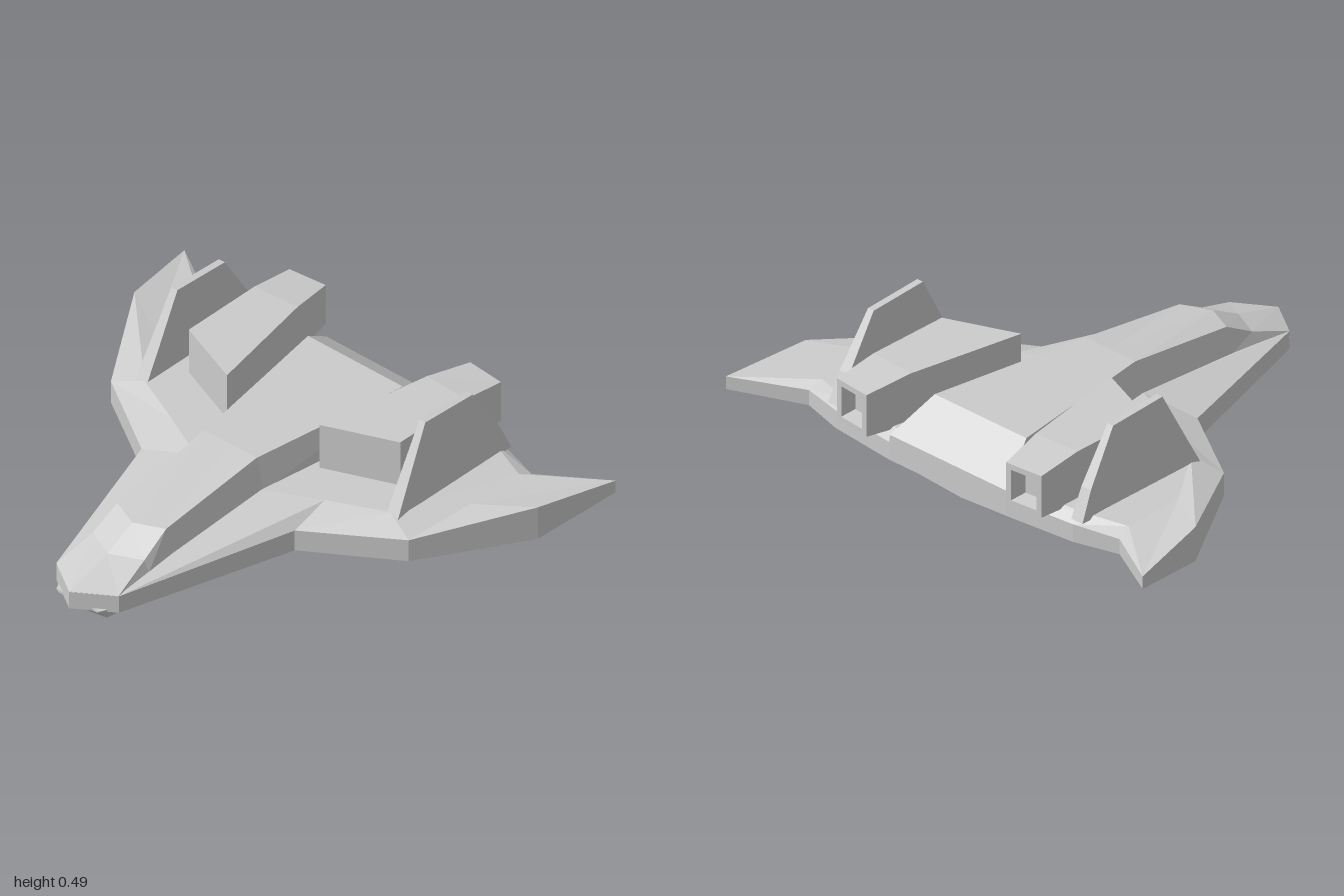
import * as THREE from 'three';

const material = new THREE.MeshStandardMaterial({ color: 0xcccccc, flatShading: true });

// Skin a row of closed rings of [x, y, z] points, cap both ends, face outward
function loft(name, rings) {
  const tris = [];
  const n = rings[0].length;
  for (let i = 0; i < rings.length - 1; i++) {
    for (let j = 0; j < n; j++) {
      const k = (j + 1) % n;
      const a = rings[i][j], b = rings[i][k], c = rings[i + 1][k], d = rings[i + 1][j];
      tris.push([a, b, c], [a, c, d]);
    }
  }
  const first = rings[0], last = rings[rings.length - 1];
  for (let j = 1; j < n - 1; j++) {
    tris.push([first[0], first[j + 1], first[j]], [last[0], last[j], last[j + 1]]);
  }
  let volume = 0;
  const solid = [];
  for (const tri of tris) {
    const [a, b, c] = tri.map((p) => new THREE.Vector3(...p));
    volume += a.dot(b.clone().cross(c));
    if (b.clone().sub(a).cross(c.clone().sub(a)).length() > 1e-7) solid.push(tri);
  }
  if (volume < 0) solid.forEach((t) => t.reverse());
  const geometry = new THREE.BufferGeometry();
  geometry.setAttribute('position', new THREE.Float32BufferAttribute(solid.flat(2), 3));
  geometry.computeVertexNormals();
  const mesh = new THREE.Mesh(geometry, material);
  mesh.name = name;
  return mesh;
}

const flip = (ring) => ring.map(([x, y, z]) => [-x, y, z]);

// Half profile from right edge to centre line, completed by mirroring
const symmetric = (half) => [...half, ...flip(half.slice(0, -1)).reverse()];

// Wing hull: lead, ridge, rear ridge and trailing points at each span station
function wing() {
  const stations = [
    [[0, 0.13, 0.855], [0, 0.19, 0.03], [0, 0.185, -0.735], [0, 0.155, -0.785]],
    [[0.145, 0.13, 0.76], [0.15, 0.19, 0.03], [0.15, 0.185, -0.735], [0.15, 0.155, -0.785]],
    [[0.355, 0.145, 0.085], [0.355, 0.19, -0.07], [0.28, 0.185, -0.735], [0.28, 0.155, -0.785]],
    [[0.69, 0.15, -0.13], [0.57, 0.19, -0.17], [0.57, 0.185, -0.71], [0.57, 0.155, -0.755]],
    [[0.935, 0.195, -0.525], [0.735, 0.18, -0.4], [0.735, 0.17, -0.65], [0.745, 0.145, -0.705]],
  ].map(([lead, ridge, rear, trail]) => [
    lead, ridge, rear, trail,
    [trail[0], 0.085, trail[2]],
    [rear[0], 0.06, rear[2] + 0.1],
    [lead[0], 0.06, lead[2]],
  ]);
  const tip = [0.16, 0.16, 0.16, 0.16, 0.11, 0.11, 0.11].map((y) => [1, y, -0.855]);
  const half = [...stations, tip];
  return loft('wing', [...half.slice(1).reverse().map(flip), ...half]);
}

// Fuselage: [base x, base y, top x, top y, side z, centre z]
function fuselage() {
  return loft('fuselage', [
    [0.145, 0.12, 0.144, 0.131, 0.76, 0.853],
    [0.14, 0.14, 0.12, 0.185, 0.6, 0.655],
    [0.138, 0.15, 0.113, 0.25, 0.48, 0.53],
    [0.155, 0.18, 0.12, 0.305, 0.02, 0.02],
    [0.25, 0.175, 0.22, 0.305, -0.625, -0.625],
    [0.285, 0.15, 0.28, 0.185, -0.785, -0.785],
  ].map(([bx, by, tx, ty, z, cz]) => symmetric([[bx, by, z], [tx, ty, z], [0, ty, cz]])));
}

// Belly keel: [edge x, edge y, chine x, chine y, keel y, z]
function belly() {
  return loft('belly', [
    [0.1, 0.07, 0.09, 0.06, 0.058, 0.81],
    [0.12, 0.07, 0.1, 0.022, 0.008, 0.77],
    [0.235, 0.07, 0.2, 0.03, 0.005, 0],
    [0.35, 0.085, 0.31, 0.04, 0.02, -0.72],
  ].map(([ex, ey, cx, cy, ky, z]) => symmetric([[ex, ey, z], [cx, cy, z], [0, ky, z]])));
}

// Engine pod: [inner x, inner z, outer x, outer z, bottom y, top y], ending in a recessed nozzle
function engine(side) {
  const rings = [
    [0.215, -0.2, 0.49, -0.31, 0.17, 0.372],
    [0.3, -0.66, 0.49, -0.65, 0.17, 0.37],
    [0.335, -0.845, 0.49, -0.83, 0.18, 0.345],
    [0.357, -0.843, 0.468, -0.832, 0.202, 0.323],
    [0.365, -0.78, 0.46, -0.77, 0.21, 0.315],
  ].map(([ix, iz, ox, oz, y0, y1]) => [[ix, y0, iz], [ix, y1, iz], [ox, y1, oz], [ox, y0, oz]]);
  return loft('engine', side > 0 ? rings : rings.map(flip));
}

// Tail fin: [inner x, outer x, front z, rear z, front y, rear y]
function fin(side) {
  const rings = [
    [0.556, 0.61, -0.16, -0.75, 0.17, 0.17],
    [0.557, 0.602, -0.218, -0.7, 0.28, 0.28],
    [0.561, 0.588, -0.33, -0.575, 0.495, 0.48],
  ].map(([ix, ox, fz, rz, fy, ry]) => [[ix, fy, fz], [ox, fy, fz], [ox, ry, rz], [ix, ry, rz]]);
  return loft('tailFin', side > 0 ? rings : rings.map(flip));
}

export function createModel() {
  const model = new THREE.Group();
  model.name = 'spacecraft';
  model.add(wing(), fuselage(), belly());
  for (const side of [1, -1]) {
    const prefix = side > 0 ? 'left' : 'right';
    const pod = engine(side);
    const tail = fin(side);
    pod.name = prefix + 'Engine';
    tail.name = prefix + 'TailFin';
    model.add(pod, tail);
  }
  return model;
}
